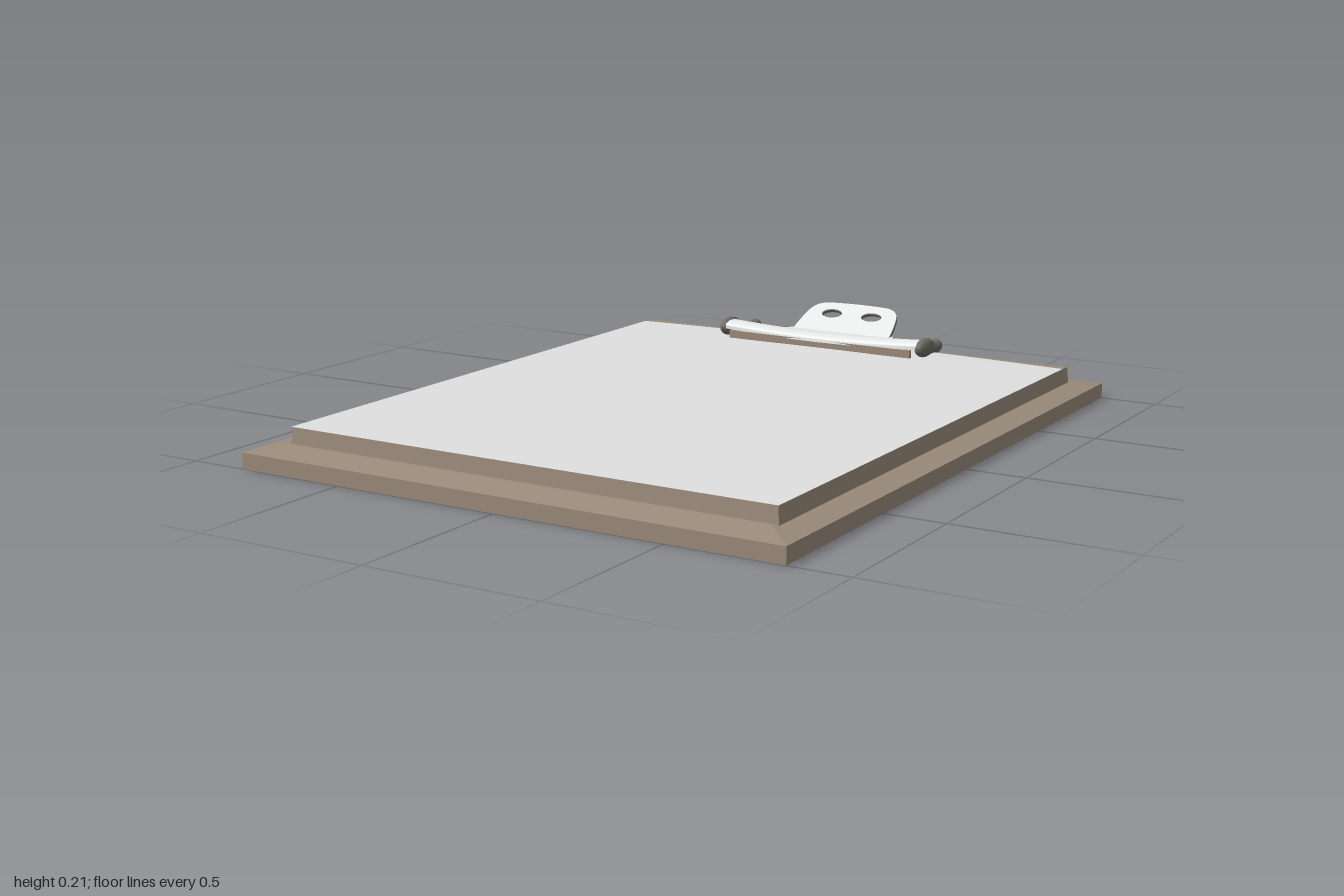
import * as THREE from 'three';
import { ParametricGeometry } from 'three/addons/geometries/ParametricGeometry.js';

const mat = (name, color, side = THREE.FrontSide) => {
  const m = new THREE.MeshStandardMaterial({ color, side });
  m.name = name;
  return m;
};

export function createModel() {
  const root = new THREE.Group();
  root.name = 'clipboard';
  const brown = mat('brown board', 0x9b8b7b);
  const underside = mat('dark underside', 0x4c433b);
  const paper = mat('pale paper', 0xdfdfdf, THREE.DoubleSide);
  const steel = mat('light steel', 0xf3f4f4, THREE.DoubleSide);
  const dark = mat('dark metal', 0x706c65);

  const add = (name, geometry, material, x = 0, y = 0, z = 0) => {
    const m = new THREE.Mesh(geometry, material);
    m.name = name;
    m.position.set(x, y, z);
    root.add(m);
    return m;
  };

  // Slab standing on its base, with its top face shrunk by an inset
  const slab = (w, h, d, inset) => {
    const g = new THREE.BoxGeometry(w, h, d).translate(0, h / 2, 0).toNonIndexed();
    const p = g.attributes.position;
    for (let i = 0; i < p.count; i++) {
      if (p.getY(i) < h / 2) continue;
      p.setX(i, p.getX(i) - Math.sign(p.getX(i)) * inset);
      p.setZ(i, p.getZ(i) - Math.sign(p.getZ(i)) * inset);
    }
    g.computeVertexNormals();
    return g;
  };

  // Board with a dark bottom face and gently sloping rim, and the pad on it
  add('board', new THREE.BoxGeometry(1.66, 0.046, 2), [brown, brown, brown, underside, brown, brown], 0, 0.023, 0);
  add('boardRim', slab(1.66, 0.014, 2, 0.09), brown, 0, 0.046, 0);
  add('paperPad', slab(1.5, 0.05, 1.81, 0.004), brown, 0.005, 0.055, -0.005);

  // Top sheet, swelling slightly towards the clip
  const sheet = new THREE.PlaneGeometry(1.496, 1.763, 12, 24).rotateX(-Math.PI / 2);
  const sp = sheet.attributes.position;
  for (let i = 0; i < sp.count; i++) {
    const x = sp.getX(i) / 0.748, z = sp.getZ(i) + 0.018;
    const rise = THREE.MathUtils.smoothstep(-z, -0.4, 0.7) * (1 - THREE.MathUtils.smoothstep(-z, 0.76, 0.9) * 0.5);
    sp.setY(i, 0.012 * rise * (1 - x * x));
  }
  sheet.computeVertexNormals();
  add('topSheet', sheet, paper, 0.005, 0.107, 0.018);

  // Arched jaw swept across the clip, lifting at its ends
  const cx = -0.008;
  const arch = new THREE.CatmullRomCurve3([
    [0.136, -0.715], [0.148, -0.718], [0.158, -0.74], [0.158, -0.77], [0.147, -0.81], [0.138, -0.842],
  ].map(([y, z]) => new THREE.Vector3(0, y, z)));
  const jaw = new ParametricGeometry((u, v, out) => {
    const t = u * 2 - 1;
    arch.getPoint(v, out);
    out.x = t * (0.35 - 0.025 * v);
    out.y += 0.01 * t * t;
    out.z -= 0.008 * t * t * (1 - v);
  }, 16, 14);
  add('clipJaw', jaw, steel, cx);
  add('clipLip', new THREE.BoxGeometry(0.64, 0.024, 0.012), brown, cx, 0.13, -0.722);

  // Flat neck flaring from the jaw into the lever, over a dark spring housing
  const neck = new THREE.Shape();
  neck.moveTo(-0.3, 0);
  neck.lineTo(0.3, 0);
  neck.lineTo(0.3, 0.035);
  neck.bezierCurveTo(0.19, 0.035, 0.2, 0.05, 0.172, 0.1);
  neck.lineTo(-0.172, 0.1);
  neck.bezierCurveTo(-0.2, 0.05, -0.19, 0.035, -0.3, 0.035);
  const plate = (depth) => ({ depth, bevelEnabled: false, curveSegments: 8 });
  add('clipNeck', new THREE.ExtrudeGeometry(neck, plate(0.008)).rotateX(-Math.PI / 2), steel, cx, 0.132, -0.8);
  add('springHousing', new THREE.BoxGeometry(0.32, 0.026, 0.09), dark, cx, 0.118, -0.842);

  // Raised lever with two slots: light face on a dark back
  const lever = new THREE.Shape();
  lever.moveTo(-0.172, -0.02);
  lever.lineTo(0.172, -0.02);
  lever.quadraticCurveTo(0.168, 0.05, 0.156, 0.09);
  lever.quadraticCurveTo(0.145, 0.128, 0.1, 0.132);
  lever.quadraticCurveTo(0, 0.138, -0.1, 0.132);
  lever.quadraticCurveTo(-0.145, 0.128, -0.156, 0.09);
  lever.quadraticCurveTo(-0.168, 0.05, -0.172, -0.02);
  for (const s of [-1, 1]) {
    const hole = new THREE.Path();
    hole.absellipse(s * 0.071, 0.08, 0.036, 0.021, 0, Math.PI * 2, true);
    lever.holes.push(hole);
  }
  const tilt = 0.53;
  const leverPlate = (depth) => new THREE.ExtrudeGeometry(lever, plate(depth)).rotateX(tilt - Math.PI / 2);
  add('leverBack', leverPlate(0.009), dark, cx, 0.132, -0.887);
  add('leverFace', leverPlate(0.004), steel, cx, 0.132 + 0.009 * Math.cos(tilt), -0.887 + 0.009 * Math.sin(tilt));

  // Side cheeks and pivot arms
  for (const s of [-1, 1]) {
    const cheek = new THREE.SphereGeometry(1, 14, 10).scale(0.022, 0.029, 0.054);
    const side = s < 0 ? 'right' : 'left';
    add(side + 'Cheek', cheek, dark, cx + s * 0.346, 0.146, -0.768);
    const path = new THREE.CatmullRomCurve3([
      [0.345, 0.14, -0.79], [0.33, 0.13, -0.84], [0.325, 0.128, -0.89],
    ].map(([x, y, z]) => new THREE.Vector3(s * x, y, z)));
    add(side + 'Arm', new THREE.TubeGeometry(path, 8, 0.019, 8), dark, cx);
    add(side + 'ArmEnd', new THREE.SphereGeometry(0.022, 12, 8), dark, cx + s * 0.325, 0.128, -0.893);
  }
  return root;
}
